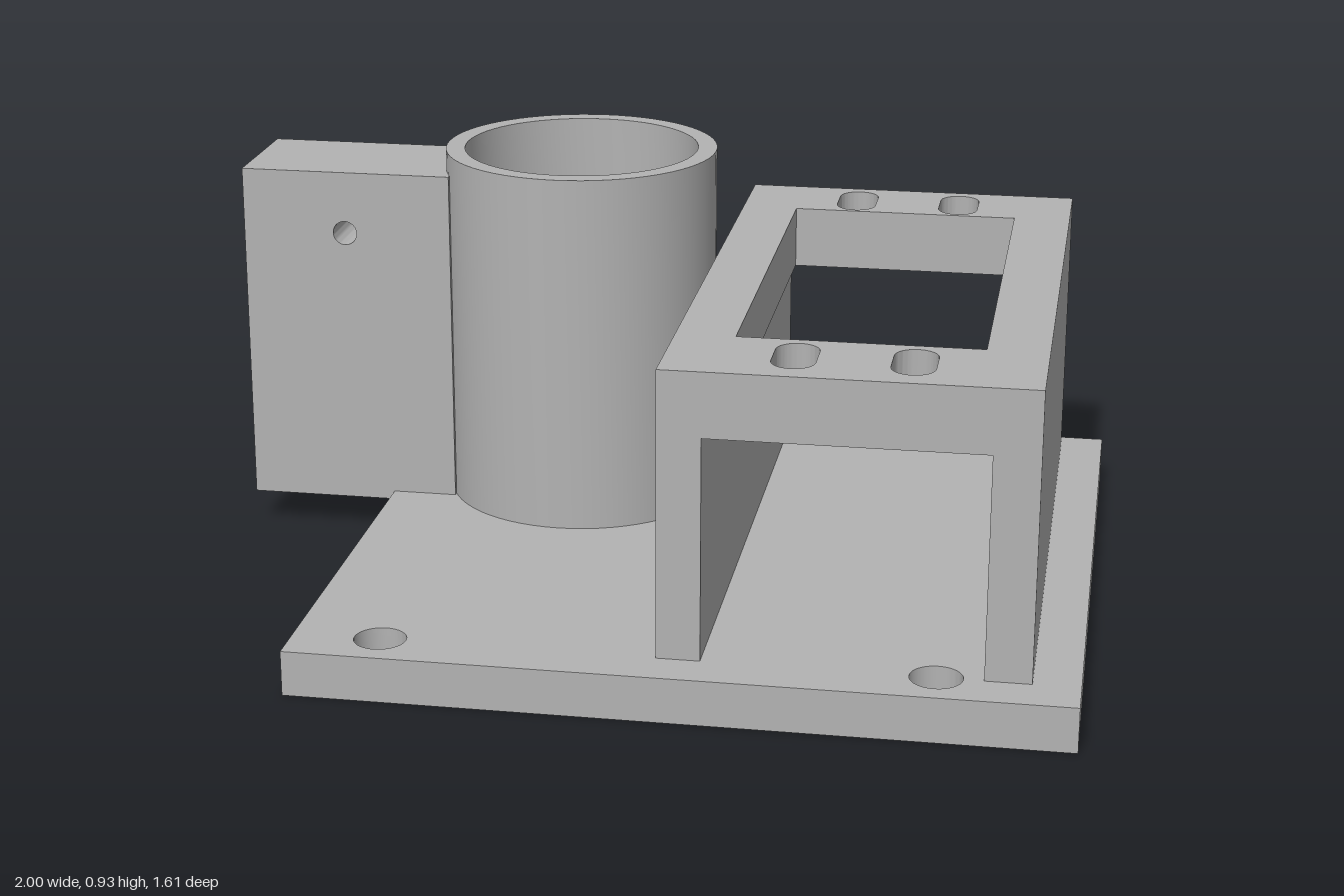
import * as THREE from 'three';
import { toCreasedNormals } from 'three/addons/utils/BufferGeometryUtils.js';

const grey = new THREE.MeshStandardMaterial({ color: 0xb3b3b3 });
grey.name = 'grey';

function addPart(group, name, geometry, x = 0, y = 0, z = 0) {
  const mesh = new THREE.Mesh(geometry, grey);
  mesh.name = name;
  mesh.position.set(x, y, z);
  group.add(mesh);
}

function rectangle(Kind, x0, x1, y0, y1) {
  return new Kind().moveTo(x0, y0).lineTo(x1, y0).lineTo(x1, y1).lineTo(x0, y1).closePath();
}

function circle(x, y, r) {
  return new THREE.Path().absarc(x, y, r, 0, Math.PI * 2, true);
}

// Upright slot with round ends; h is half the distance between the end centres
function slot(x, y, r, h) {
  return new THREE.Path()
    .absarc(x, y + h, r, 0, Math.PI, false)
    .absarc(x, y - h, r, Math.PI, Math.PI * 2, false)
    .closePath();
}

function extrude(shape, depth) {
  const g = new THREE.ExtrudeGeometry(shape, { depth, bevelEnabled: false, curveSegments: 24 });
  return toCreasedNormals(g, 0.6);
}

// Horizontal slab: the shape's y axis becomes -z
const slab = (shape, depth) => extrude(shape, depth).rotateX(-Math.PI / 2);

export function createModel() {
  const model = new THREE.Group();
  model.name = 'mountingBracket';
  const tubeX = -0.223, tubeZ = -0.297, boreR = 0.125;

  // Base plate with corner holes and the bore
  const plate = rectangle(THREE.Shape, -0.657, 1, -0.804, 0.804);
  for (const x of [-0.468, 0.704]) {
    for (const z of [-0.71, 0.703]) plate.holes.push(circle(x, -z, 0.056));
  }
  plate.holes.push(circle(tubeX, -tubeZ, boreR));
  addPart(model, 'basePlate', slab(plate, 0.1));

  // Stepped tube: wide socket at the top, narrow bore below
  const profile = [
    [boreR, 0.1], [0.315, 0.1], [0.315, 0.93], [0.271, 0.93],
    [0.271, 0.75], [boreR, 0.75], [boreR, 0.1],
  ].map(([r, y]) => new THREE.Vector2(r, y));
  addPart(model, 'tube', toCreasedNormals(new THREE.LatheGeometry(profile, 64), 0.6), tubeX, 0, tubeZ);

  // Side block with a small cross hole
  const block = rectangle(THREE.Shape, -1, -0.508, 0.08, 0.88);
  block.holes.push(circle(-0.758, 0.735, 0.028));
  addPart(model, 'sideBlock', extrude(block, 0.288), 0, 0, -0.44);

  // Bridge: two walls and a top with a window and four slots
  const back = -0.76, front = 0.705, length = front - back;
  const walls = { rightWall: [0.122, 0.215], leftWall: [0.802, 0.9] };
  for (const [name, [x0, x1]] of Object.entries(walls)) {
    addPart(model, name, new THREE.BoxGeometry(x1 - x0, 0.49, length),
      (x0 + x1) / 2, 0.345, (front + back) / 2);
  }
  const top = rectangle(THREE.Shape, 0.122, 0.9, -front, -back);
  top.holes.push(rectangle(THREE.Path, 0.25, 0.77, -0.463, 0.555));
  for (const x of [0.388, 0.632]) {
    for (const z of [-0.65, 0.57]) top.holes.push(slot(x, -z, 0.046, 0.037));
  }
  addPart(model, 'bridgeTop', slab(top, 0.142), 0, 0.59, 0);

  return model;
}
